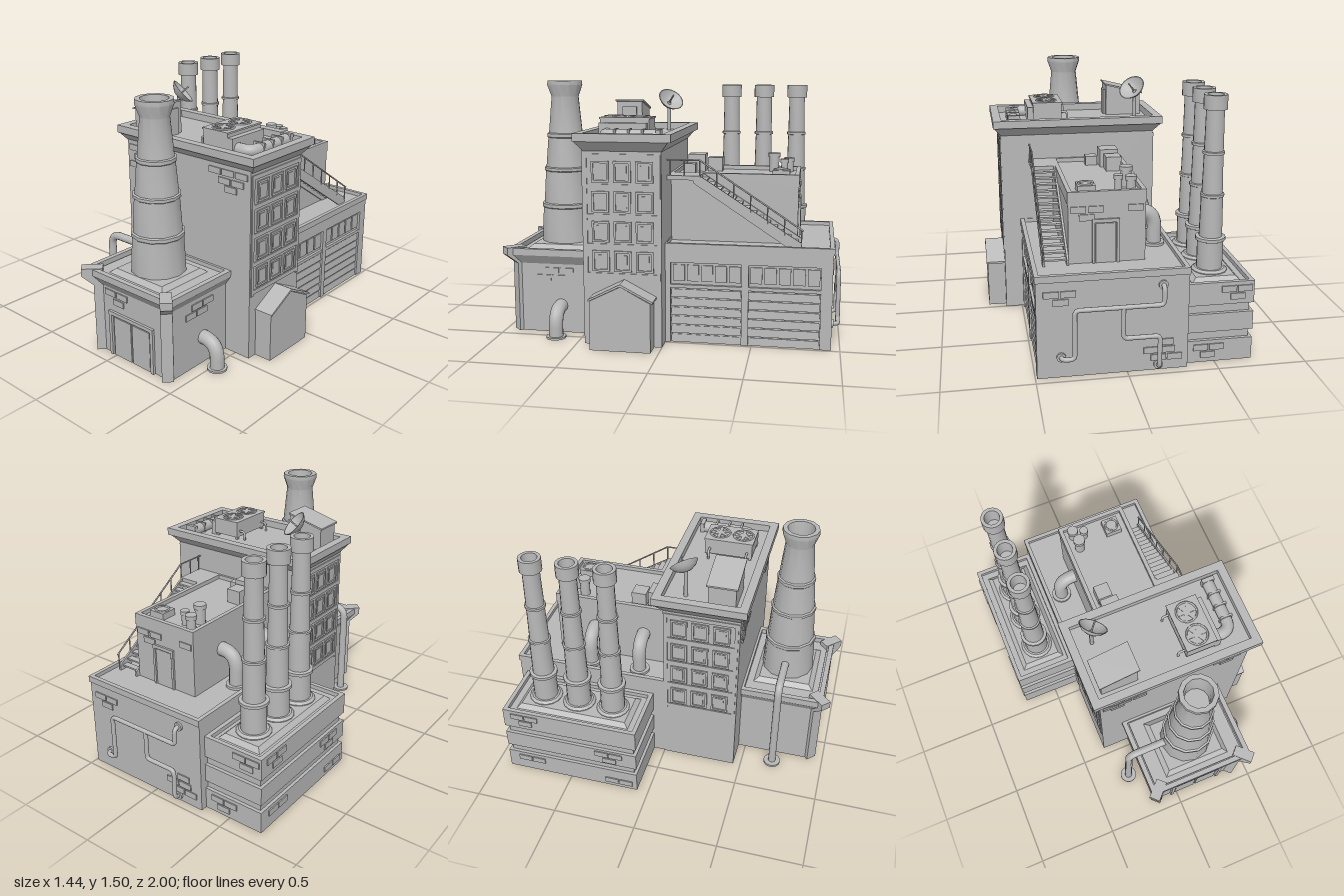
import * as THREE from 'three';
import { toCreasedNormals } from 'three/addons/utils/BufferGeometryUtils.js';

// double sided because the buildings are hollow shells, open underneath
const grey = new THREE.MeshStandardMaterial({ color: 0xb8b8b8, side: THREE.DoubleSide });
grey.name = 'concreteGrey';
const V = (x, y, z) => new THREE.Vector3(x, y, z);

export function createModel() {
  const model = new THREE.Group();
  model.name = 'factory';
  let part = model;
  const section = (name) => { part = new THREE.Group(); part.name = name; model.add(part); };
  const add = (name, geo) => {
    const m = new THREE.Mesh(geo, grey);
    m.name = name;
    part.add(m);
    return m;
  };
  const box = (name, x0, x1, y0, y1, z0, z1) =>
    add(name, new THREE.BoxGeometry(x1 - x0, y1 - y0, z1 - z0).translate((x0 + x1) / 2, (y0 + y1) / 2, (z0 + z1) / 2));
  // box without its bottom face
  const shell = (...args) => {
    const geo = box(...args).geometry, idx = [...geo.index.array];
    idx.splice(18, 6);
    geo.setIndex(idx);
    geo.clearGroups();
  };
  // box whose top is grown outward by g (negative shrinks it)
  const flare = (name, x0, x1, y0, y1, z0, z1, g) => {
    const geo = new THREE.BoxGeometry(x1 - x0, y1 - y0, z1 - z0), p = geo.attributes.position;
    for (let i = 0; i < p.count; i++) if (p.getY(i) > 0)
      p.setXYZ(i, p.getX(i) + Math.sign(p.getX(i)) * g, p.getY(i), p.getZ(i) + Math.sign(p.getZ(i)) * g);
    geo.computeVertexNormals();
    return add(name, geo.translate((x0 + x1) / 2, (y0 + y1) / 2, (z0 + z1) / 2));
  };
  const rect = (x0, x1, y0, y1) => [[x0, y0], [x1, y0], [x1, y1], [x0, y1]].map(p => new THREE.Vector2(...p));
  // rectangular rim with a hole, t wide
  const rim = (name, x0, x1, y0, y1, z0, z1, t) => {
    const s = new THREE.Shape(rect(x0, x1, -z1, -z0));
    s.holes.push(new THREE.Path(rect(x0 + t, x1 - t, -z1 + t, -z0 - t)));
    return add(name, new THREE.ExtrudeGeometry(s, { depth: y1 - y0, bevelEnabled: false }).rotateX(-Math.PI / 2).translate(0, y0, 0));
  };
  // [z, y] outline extruded along x
  const prism = (name, pts, x0, x1) => add(name, new THREE.ExtrudeGeometry(
    new THREE.Shape(pts.map(p => new THREE.Vector2(...p))), { depth: x1 - x0, bevelEnabled: false }).rotateY(-Math.PI / 2).translate(x1, 0, 0));
  const lathe = (name, pts, x, z, n) => add(name, toCreasedNormals(
    new THREE.LatheGeometry(pts.map(p => new THREE.Vector2(...p)), n), 0.6).translate(x, 0, z));
  const flange = (name, x, z, y0, y1, r0, r1) => lathe(name, [[r0, y0], [r1, y0], [r1, y1], [r0, y1]], x, z, 16);
  const disc = (name, x, z, y0, y1, r) =>
    add(name, toCreasedNormals(new THREE.CylinderGeometry(r, r, y1 - y0, 16), 0.6).translate(x, (y0 + y1) / 2, z));
  const rod = (name, a, b, r) => {
    const m = add(name, new THREE.CylinderGeometry(r, r, a.distanceTo(b), 6));
    m.position.copy(a).lerp(b, 0.5);
    m.quaternion.setFromUnitVectors(V(0, 1, 0), b.clone().sub(a).normalize());
  };
  // tube through points with rounded corners
  const pipe = (name, pts, r, bend) => {
    const path = new THREE.CurvePath();
    let last = pts[0];
    for (let i = 1; i < pts.length; i++) {
      const c = pts[i], next = pts[i + 1];
      if (!next) { path.add(new THREE.LineCurve3(last, c)); break; }
      const a = c.clone().addScaledVector(last.clone().sub(c).normalize(), bend);
      const b = c.clone().addScaledVector(next.clone().sub(c).normalize(), bend);
      path.add(new THREE.LineCurve3(last, a));
      path.add(new THREE.QuadraticBezierCurve3(a, c, b));
      last = b;
    }
    add(name, new THREE.TubeGeometry(path, 60, r, 12));
  };
  // plates on a wall: origin, turn about y, list of [u, v] centres
  const bricks = (x, z, turn, list) => list.forEach(([u, v]) => {
    const m = add('brick', new THREE.BoxGeometry(0.083, 0.036, 0.014).translate(u, v, 0));
    m.position.set(x, 0, z);
    m.rotation.y = turn;
  });
  const R = Math.PI / 2, L = -R, B = Math.PI;

  section('mainTower');
  shell('towerBody', -0.34, 0.6, 0, 1.175, 0, 0.455);
  flare('towerCornice', -0.34, 0.6, 1.12, 1.178, 0, 0.445, 0.046);
  rim('towerParapet', -0.386, 0.646, 1.175, 1.22, -0.06, 0.495, 0.05);
  bricks(0, 0.455, 0, [[-0.28, 1.09], [-0.24, 1.04], [-0.148, 1.04], [-0.28, 0.988], [-0.185, 0.988], [-0.09, 0.988], [-0.233, 0.945],
    [0.35, 1.09], [0.443, 1.09], [0.538, 1.09], [0.417, 1.04], [0.51, 1.04], [0.463, 0.997]]);
  // side windows on both flanks
  for (const [x, s] of [[0.6, 1], [-0.34, -1]]) {
    const face = (name, d, y0, y1, z0, z1) => box(name, Math.min(x, x + s * d), Math.max(x, x + s * d), y0, y1, z0, z1);
    for (const z of [0.005, 0.425]) face('windowPilaster', 0.006, 0.39, 1.1, z, z + 0.02);
    for (let r = 0; r < 5; r++) face('windowBand', 0.006, 0.4 + r * 0.17, 0.425 + r * 0.17, 0.005, 0.445);
    for (let r = 0; r < 4; r++) for (let c = 0; c < 3; c++) {
      const z0 = 0.045 + c * 0.127, y0 = 0.435 + r * 0.17;
      face('windowSill', 0.008, y0, y0 + 0.012, z0, z0 + 0.1);
      face('windowLintel', 0.008, y0 + 0.108, y0 + 0.12, z0, z0 + 0.1);
      for (const z of [z0, z0 + 0.088]) face('windowJamb', 0.008, y0 + 0.01, y0 + 0.11, z, z + 0.012);
      face('windowPane', 0.003, y0 + 0.025, y0 + 0.095, z0 + 0.025, z0 + 0.075);
    }
  }

  section('towerRoofEquipment');
  const hut = (name, pts, z0, z1) => add(name, new THREE.ExtrudeGeometry(
    new THREE.Shape(pts.map(p => new THREE.Vector2(...p))), { depth: z1 - z0, bevelEnabled: false }).translate(0, 0, z0));
  hut('roofHut', [[-0.31, 1.17], [-0.09, 1.17], [-0.09, 1.367], [-0.31, 1.315]], 0.255, 0.415);
  hut('hutRoof', [[-0.322, 1.312], [-0.083, 1.37], [-0.083, 1.38], [-0.322, 1.322]], 0.245, 0.425);
  box('hutDoor', -0.09, -0.077, 1.17, 1.335, 0.29, 0.38);
  // dish
  const bowl = [[0, -0.045], [0.035, -0.038], [0.065, -0.02], [0.085, 0.005], [0.08, 0.005], [0.06, -0.014], [0.03, -0.03], [0, -0.036]];
  const dish = lathe('dishBowl', bowl, 0, 0, 20);
  dish.position.set(-0.225, 1.375, 0.095);
  dish.quaternion.setFromUnitVectors(V(0, 1, 0), V(0.55, 0.67, -0.5).normalize());
  rod('dishFeed', V(-0.242, 1.354, 0.11), V(-0.2, 1.405, 0.072), 0.005);
  rod('dishStand', V(-0.245, 1.17, 0.11), V(-0.245, 1.36, 0.11), 0.012);
  // air conditioner with two fans
  box('coolingUnit', 0.215, 0.39, 1.195, 1.285, 0.11, 0.4);
  box('coolingUnitTop', 0.21, 0.395, 1.285, 1.295, 0.105, 0.405);
  for (const x of [0.22, 0.37]) for (const z of [0.12, 0.38]) box('unitFoot', x, x + 0.015, 1.17, 1.2, z, z + 0.015);
  for (const z of [0.185, 0.33]) {
    add('fanRing', new THREE.TorusGeometry(0.06, 0.006, 6, 24).rotateX(R).translate(0.303, 1.297, z));
    for (let i = 0; i < 3; i++)
      add('fanBlade', new THREE.BoxGeometry(0.11, 0.004, 0.02).rotateY(i * Math.PI / 3)).position.set(0.303, 1.298, z);
  }
  for (const z of [0.14, 0.37]) pipe('coolantPipe', [V(0.23, 1.23, z), V(0.178, 1.23, z), V(0.178, 1.17, z)], 0.007, 0.02);
  pipe('airDuct', [V(0.38, 1.2, 0.35), V(0.515, 1.2, 0.35), V(0.515, 1.2, 0.02)], 0.036, 0.07);
  box('ductEnd', 0.478, 0.552, 1.17, 1.238, 0.015, 0.04);
  for (const z of [0.11, 0.19, 0.27]) box('ductRib', 0.477, 0.553, 1.17, 1.24, z, z + 0.012);
  box('ductCollar', 0.39, 0.425, 1.175, 1.265, 0.12, 0.4);

  section('frontAnnex');
  shell('annexBody', -0.165, 0.425, 0, 0.49, 0.455, 0.915);
  flare('annexCornice', -0.165, 0.425, 0.42, 0.475, 0.455, 0.915, 0.038);
  rim('annexParapet', -0.204, 0.464, 0.475, 0.515, 0.44, 0.955, 0.03);
  flare('chimneyPlinth', -0.085, 0.345, 0.485, 0.515, 0.505, 0.885, -0.035);
  for (const s of [-1, 1]) {
    const m = prism('cornerButtress', [[-0.03, 0], [0.025, 0], [0.025, 0.42], [0.092, 0.475], [0.092, 0.52], [-0.03, 0.52]], -0.033, 0.033);
    m.position.set(0.13 + s * 0.27, 0, 0.912);
    m.rotation.y = s * Math.PI / 4;
  }
  bricks(0, 0.915, 0, [[-0.035, 0.39], [0.06, 0.39], [0.03, 0.342]]);
  bricks(0.425, 0, R, [[-0.7, 0.38], [-0.61, 0.38], [-0.66, 0.335], [-0.75, 0.335]]);
  // double door
  for (const x of [-0.045, 0.284]) box('doorPost', x, x + 0.022, 0, 0.28, 0.915, 0.93);
  box('doorLintel', -0.045, 0.306, 0.258, 0.28, 0.915, 0.93);
  for (const x of [-0.012, 0.136]) box('doorLeaf', x, x + 0.137, 0, 0.245, 0.915, 0.922);
  // big chimney
  lathe('mainChimney', [[0.16, 0.5], [0.15, 0.725], [0.155, 0.73], [0.155, 0.75], [0.143, 0.755], [0.13, 0.95], [0.137, 0.955], [0.137, 0.972],
    [0.126, 0.977], [0.11, 1.155], [0.115, 1.16], [0.115, 1.18], [0.105, 1.185], [0.084, 1.405], [0.109, 1.475], [0.107, 1.5],
    [0.08, 1.5], [0.07, 1.42], [0.07, 1.35], [0, 1.35]], 0.13, 0.69, 12);
  pipe('chimneyPipe', [V(0.05, 0.62, 0.69), V(-0.255, 0.62, 0.69), V(-0.255, 0, 0.69)], 0.023, 0.07);
  flange('chimneyPipeFlange', -0.255, 0.69, 0, 0.014, 0.022, 0.052);
  pipe('outletPipe', [V(0.42, 0.165, 0.65), V(0.53, 0.165, 0.65), V(0.53, 0, 0.65)], 0.042, 0.1);
  flange('outletFlange', 0.53, 0.65, 0, 0.012, 0.041, 0.058);

  section('sideShed');
  shell('shedBody', 0.6, 0.708, 0, 0.285, 0.045, 0.395);
  prism('shedGable', [[0.395, 0.285], [0.215, 0.375], [0.045, 0.285]], 0.6, 0.708);
  prism('shedRoof', [[0.03, 0.285], [0.215, 0.378], [0.4, 0.285], [0.4, 0.297], [0.215, 0.392], [0.03, 0.297]], 0.6, 0.716);

  section('garage');
  shell('garageBody', -0.335, 0.47, 0, 0.565, -0.95, 0);
  box('garageFrieze', 0.465, 0.49, 0.475, 0.552, -0.95, 0);
  rim('garageParapet', -0.338, 0.496, 0.55, 0.588, -0.957, 0.02, 0.025);
  // posts between the door bays
  for (const [z0, z1] of [[-0.95, -0.885], [-0.48, -0.44], [-0.03, 0]]) box('garagePilaster', 0.47, 0.49, 0, 0.48, z0, z1);
  for (const z of [-0.885, -0.44]) {
    for (let i = 0; i < 6; i++) flare('shutterSlat', 0.47, 0.482, i * 0.054, i * 0.054 + 0.046, z, z + 0.408, -0.004);
    box('shutterLintel', 0.47, 0.488, 0.325, 0.345, z, z + 0.41);
    for (let i = 0; i < 5; i++) box('garageWindow', 0.47, 0.478, 0.365, 0.46, z + 0.005 + i * 0.081, z + 0.073 + i * 0.081);
  }
  bricks(0, -0.95, B, [[-0.41, 0.48], [-0.32, 0.48], [-0.36, 0.435], [0.13, 0.12], [0.22, 0.12], [0.17, 0.075], [0.26, 0.075], [0.21, 0.165]]);
  pipe('wallPipe', [V(-0.19, 0.5, -0.95), V(-0.19, 0.5, -0.987), V(-0.19, 0.4, -0.987), V(0.29, 0.4, -0.987),
    V(0.29, 0.12, -0.987), V(0.36, 0.12, -0.987), V(0.36, 0.12, -0.95)], 0.013, 0.025);
  pipe('wallPipeBranch', [V(0.03, 0.4, -0.987), V(0.03, 0.22, -0.987), V(-0.17, 0.22, -0.987),
    V(-0.17, 0.035, -0.987), V(-0.17, 0.035, -0.95)], 0.013, 0.025);
  for (const [x, y] of [[-0.19, 0.5], [0.36, 0.12], [-0.17, 0.035]])
    add('wallPipeFlange', new THREE.CylinderGeometry(0.026, 0.026, 0.012, 12).rotateX(R)).position.set(x, y, -0.956);

  section('upperBlock');
  shell('upperBody', -0.135, 0.29, 0.565, 0.945, -0.745, 0);
  rim('upperParapet', -0.138, 0.293, 0.9, 0.97, -0.748, 0.01, 0.025);
  box('upperDoor', 0.03, 0.14, 0.565, 0.79, -0.752, -0.745);
  for (const x of [0.01, 0.145]) box('upperDoorPost', x, x + 0.015, 0.565, 0.81, -0.757, -0.745);
  box('upperDoorLintel', 0.01, 0.16, 0.795, 0.815, -0.757, -0.745);
  bricks(0, -0.745, B, [[-0.235, 0.87], [-0.14, 0.87], [-0.19, 0.825], [0.08, 0.87]]);
  for (const z of [-0.5, -0.185]) {
    pipe('ventElbow', [V(-0.13, 0.77, z), V(-0.24, 0.77, z), V(-0.24, 0.565, z)], 0.042, 0.1);
    flange('ventFlange', -0.24, z, 0.565, 0.58, 0.041, 0.062);
  }
  for (const [x, z, r, h] of [[-0.065, -0.675, 0.027, 1.015], [0, -0.65, 0.02, 1.015], [-0.055, -0.585, 0.03, 1.045]]) {
    disc('roofVent', x, z, 0.94, h, r);
    disc('roofVentCap', x, z, h - 0.01, h + 0.015, r + 0.006);
  }
  box('roofFanBox', 0.13, 0.23, 0.94, 0.985, -0.69, -0.59);
  add('roofFanRing', new THREE.TorusGeometry(0.038, 0.006, 6, 20).rotateX(R).translate(0.18, 0.987, -0.64));
  box('roofBox', -0.09, 0.0, 0.94, 1.03, -0.27, -0.18);
  box('roofBox', -0.09, 0.02, 0.94, 1.05, -0.165, -0.06);
  box('roofBox', 0.03, 0.1, 0.94, 1.0, -0.115, -0.05);

  section('staircase');
  box('landing', 0.28, 0.435, 0.945, 0.97, -0.19, 0);
  for (let i = 0; i < 14; i++)
    box('stairTread', 0.29, 0.425, 0.587 + i * 0.027, 0.597 + i * 0.027, -0.75 + i * 0.04, -0.712 + i * 0.04);
  for (const x of [0.29, 0.42])
    prism('stairStringer', [[-0.77, 0.567], [-0.7, 0.567], [-0.15, 0.93], [-0.15, 0.97], [-0.19, 0.97], [-0.77, 0.6]], x, x + 0.012);
  const rx = 0.43;
  rod('landingRail', V(rx, 1.06, 0), V(rx, 1.06, -0.19), 0.005);
  rod('stairRail', V(rx, 1.06, -0.19), V(rx, 0.67, -0.78), 0.005);
  for (const z of [-0.02, -0.1]) rod('railPost', V(rx, 0.95, z), V(rx, 1.06, z), 0.004);
  for (let i = 0; i < 7; i++) {
    const t = i / 6;
    rod('railPost', V(rx, 0.96 - t * 0.38, -0.19 - t * 0.58), V(rx, 1.06 - t * 0.385, -0.19 - t * 0.58), 0.004);
  }

  section('stackBase');
  shell('baseCore', -0.695, -0.335, 0, 0.445, -0.89, -0.09);
  for (const [y0, y1] of [[0, 0.13], [0.18, 0.288], [0.34, 0.47]]) rim('baseCourse', -0.714, -0.335, y0, y1, -0.91, -0.07, 0.025);
  flare('stackPlinth', -0.655, -0.38, 0.445, 0.47, -0.845, -0.135, -0.026);
  bricks(-0.714, 0, L, [[-0.82, 0.43], [-0.73, 0.43], [-0.77, 0.385], [-0.2, 0.255], [-0.29, 0.255], [-0.24, 0.21], [-0.8, 0.09], [-0.71, 0.09], [-0.14, 0.045], [-0.23, 0.045]]);
  bricks(0, -0.91, B, [[0.66, 0.43], [0.57, 0.43], [0.62, 0.385], [0.42, 0.09], [0.51, 0.09], [0.46, 0.045]]);
  // three slim stacks
  for (const z of [-0.27, -0.487, -0.704])
    lathe('slimStack', [[0.1, 0.465], [0.1, 0.475], [0.085, 0.487], [0.073, 0.487], [0.073, 0.645], [0.084, 0.65], [0.084, 0.668], [0.065, 0.672], [0.061, 0.9],
      [0.067, 0.903], [0.067, 0.917], [0.058, 0.92], [0.053, 1.138], [0.061, 1.14], [0.061, 1.155], [0.053, 1.158], [0.05, 1.385], [0.065, 1.385],
      [0.065, 1.465], [0.045, 1.465], [0.04, 1.37], [0, 1.37]], -0.515, z, 16);
  return model;
}
